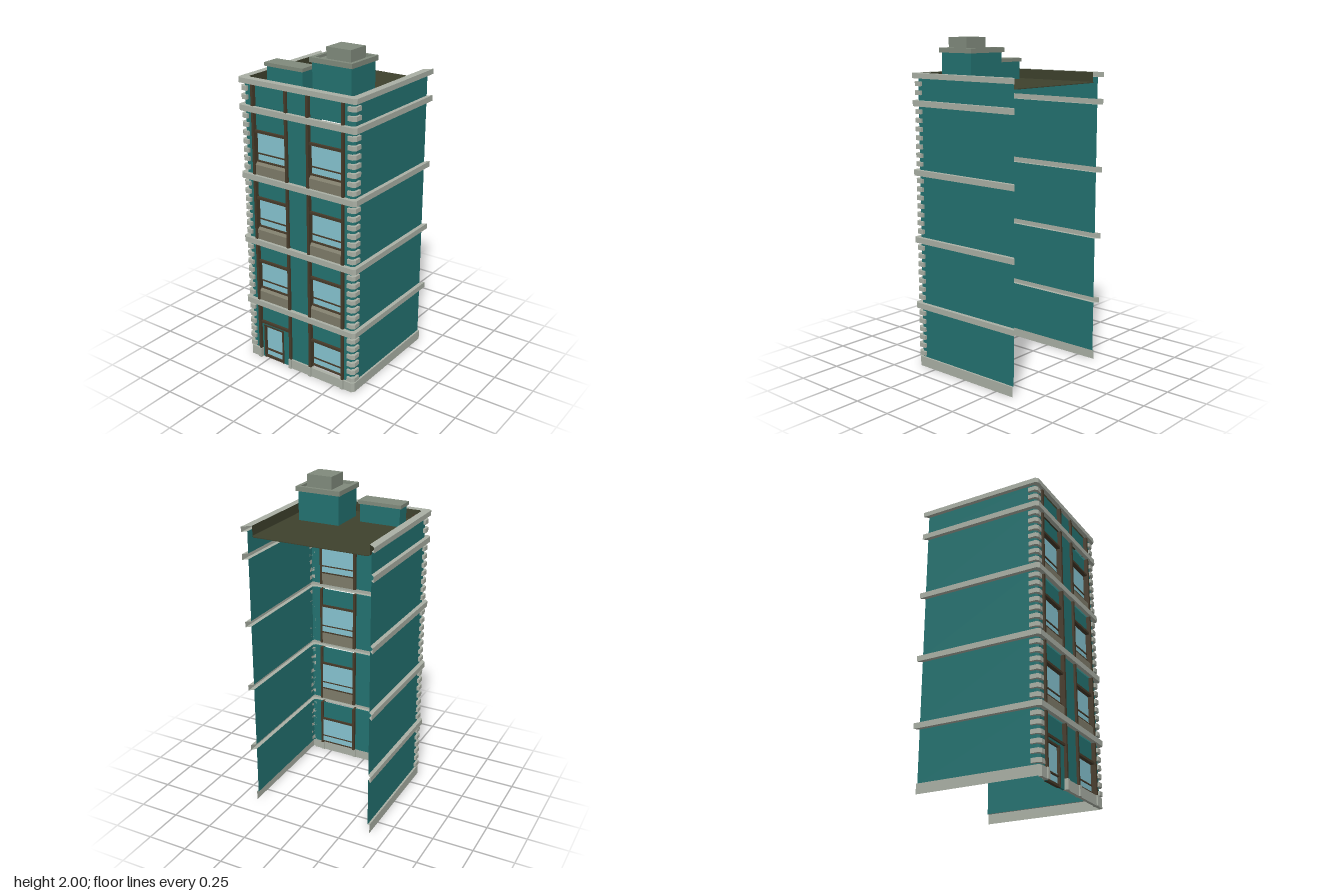
import * as THREE from 'three';

const mat = (name, color) => new THREE.MeshStandardMaterial({ name, color, side: THREE.DoubleSide });

export function createModel() {
  const teal = mat('teal wall', 0x237270);
  const stone = mat('light stone', 0xaab0a5);
  const capGrey = mat('cap grey', 0x808a7c);
  const panelGrey = mat('panel grey', 0x7d7b69);
  const brown = mat('dark brown trim', 0x463a29);
  const glass = mat('window glass', 0x86c3d0);
  const roofMat = mat('roof olive', 0x3e412d);

  const model = new THREE.Group();
  model.name = 'building';

  const add = (name, geo, material, parent = model) => {
    const m = new THREE.Mesh(geo, material);
    m.name = name;
    parent.add(m);
    return m;
  };
  // Box given by its limits on each axis
  const box = (name, material, x0, x1, y0, y1, z0, z1, parent) => {
    const m = add(name, new THREE.BoxGeometry(x1 - x0, y1 - y0, z1 - z0), material, parent);
    m.position.set((x0 + x1) / 2, (y0 + y1) / 2, (z0 + z1) / 2);
    return m;
  };

  // U-shaped plan with chamfered front corners, open at the back
  const plan = (d, back = 0.005 - d) => {
    const f = d - 0.007, c = 0.015;
    return [[-d, back], [-d, f - c], [c - d, f], [d - c, f], [d, f - c], [d, back]];
  };
  // Sweep a profile of [offset, height] points round the plan
  const sweep = (name, material, profile, { front = true, back } = {}) => {
    const pos = [];
    for (let i = 0; i < profile.length - 1; i++) {
      const [d0, y0] = profile[i], [d1, y1] = profile[i + 1];
      const a = plan(d0, back), b = plan(d1, back);
      for (let s = 0; s < 5; s++) {
        if (s === 2 && !front) continue;
        const A = [a[s][0], y0, a[s][1]], B = [a[s + 1][0], y0, a[s + 1][1]];
        const C = [b[s + 1][0], y1, b[s + 1][1]], D = [b[s][0], y1, b[s][1]];
        pos.push(...A, ...B, ...C, ...A, ...C, ...D);
      }
    }
    const geo = new THREE.BufferGeometry();
    geo.setAttribute('position', new THREE.Float32BufferAttribute(pos, 3));
    geo.computeVertexNormals();
    return add(name, geo, material);
  };
  // Horizontal slab from a plan of [x, z] points, with its top at y
  const slab = (name, material, points, y, depth, hole) => {
    const shape = new THREE.Shape(points.map(p => new THREE.Vector2(...p)));
    if (hole) shape.holes.push(new THREE.Path(hole.map(p => new THREE.Vector2(...p))));
    const geo = new THREE.ExtrudeGeometry(shape, { depth, bevelEnabled: false });
    geo.rotateX(Math.PI / 2);
    const m = add(name, geo, material);
    m.position.y = y;
    return m;
  };
  const rect = (x0, x1, z0, z1) => [[x0, z0], [x1, z0], [x1, z1], [x0, z1]];

  // Belt courses, cornice and base
  for (const y of [0.39, 0.8, 1.21, 1.62]) {
    sweep('beltCourse', stone, [[0.38, y - 0.017], [0.405, y - 0.017], [0.405, y + 0.017], [0.38, y + 0.017]]);
  }
  sweep('cornice', stone, [[0.38, 1.765], [0.405, 1.765], [0.405, 1.795], [0.36, 1.795]]);
  sweep('parapetInside', roofMat, [[0.36, 1.795], [0.36, 1.735]]);
  sweep('base', stone, [[0.392, 0], [0.392, 0.06], [0.38, 0.06]], { front: false, back: -0.375 });
  box('baseFront', stone, -0.377, -0.302, 0, 0.06, 0.365, 0.385);
  box('baseFront', stone, -0.083, 0.377, 0, 0.06, 0.365, 0.385);
  for (const x of [-0.311, -0.075, 0.075, 0.311]) box('baseBlock', stone, x - 0.011, x + 0.011, 0, 0.062, 0.36, 0.393);

  // Storeys: side walls, front piers, trim strips and corner quoins
  const storeys = [[0.06, 0.373, 6], [0.407, 0.783, 7], [0.817, 1.193, 7], [1.227, 1.603, 7], [1.637, 1.765, 2]];
  const quoinPlan = [[0.345, 0.388], [0.38, 0.388], [0.395, 0.373], [0.395, 0.328],
    [0.38, 0.328], [0.38, 0.358], [0.365, 0.373], [0.345, 0.373]];
  for (const [y0, y1, count] of storeys) {
    sweep('sideWalls', teal, [[0.38, y0], [0.38, y1]], { front: false });
    box('centrePier', teal, -0.07, 0.07, y0, y1, 0.365, 0.373);
    for (const s of [-1, 1]) {
      const a = s * 0.315, b = s * 0.365;
      box('outerPier', teal, Math.min(a, b), Math.max(a, b), y0, y1, 0.365, 0.373);
      for (const x of [s * 0.075, s * 0.311]) {
        box('trimStrip', brown, x - 0.008, x + 0.008, y0, y1, 0.348, 0.387);
      }
      for (let i = 0; i < count; i++) {
        slab('quoin', stone, quoinPlan.map(([x, z]) => [s * x, z]), y1 - 0.019 - i * 0.0515, 0.026);
      }
    }
  }

  // Window bays between the trim strips
  const bay = (x, bottom, g0, g1, top) => {
    const g = new THREE.Group();
    g.name = 'windowBay';
    model.add(g);
    const l = x - 0.11, r = x + 0.11;
    box('spandrel', teal, l, r, g1 + 0.014, top, 0.357, 0.363, g);
    box('header', brown, l, r, g1, g1 + 0.014, 0.348, 0.38, g);
    box('pane', glass, l, r, g0, g1, 0.35, 0.354, g);
    box('rail', brown, l, r, g0 + 0.038, g0 + 0.045, 0.347, 0.36, g);
    box('sill', brown, l, r, g0 - 0.008, g0, 0.347, 0.366, g);
    if (g0 - bottom < 0.03) return;
    // Panel with a sloped top below the sill
    const h = g0 - 0.008 - bottom;
    const side = new THREE.Shape([[0.35, 0], [0.38, 0], [0.38, h - 0.015], [0.366, h], [0.35, h]]
      .map(p => new THREE.Vector2(...p)));
    const geo = new THREE.ExtrudeGeometry(side, { depth: 0.22, bevelEnabled: false });
    geo.rotateY(-Math.PI / 2);
    add('panel', geo, panelGrey, g).position.set(r, bottom, 0);
  };
  for (const s of [-1, 1]) {
    const x = s * 0.193;
    for (const y of [0.39, 0.8, 1.21]) bay(x, y + 0.017, y + 0.1, y + 0.272, y + 0.393);
    box('topSpandrel', teal, x - 0.11, x + 0.11, 1.637, 1.765, 0.357, 0.363);
  }
  bay(0.193, 0.06, 0.078, 0.243, 0.373);

  // Entrance
  box('entranceSpandrel', teal, -0.303, -0.083, 0.257, 0.373, 0.357, 0.363);
  box('entranceHeader', brown, -0.303, -0.083, 0.243, 0.257, 0.348, 0.38);
  box('entranceSide', teal, -0.135, -0.083, 0, 0.243, 0.357, 0.37);
  box('entranceSide', teal, -0.303, -0.287, 0, 0.243, 0.357, 0.37);
  box('entranceTop', teal, -0.287, -0.135, 0.23, 0.243, 0.357, 0.37);
  box('doorPane', glass, -0.277, -0.146, 0.012, 0.22, 0.354, 0.358);
  for (const x of [-0.287, -0.146]) box('doorStile', brown, x, x + 0.011, 0, 0.23, 0.35, 0.374);
  for (const [y, h] of [[0, 0.014], [0.055, 0.007], [0.218, 0.012]]) {
    box('doorRail', brown, -0.277, -0.146, y, y + h, 0.35, 0.37);
  }

  // Roof deck
  slab('roof', roofMat, [[-0.36, -0.355], [-0.345, -0.37], [0.345, -0.37], [0.36, -0.355],
    [0.36, 0.338], [0.345, 0.353], [-0.345, 0.353], [-0.36, 0.338]], 1.737, 0.004);

  // Low roof box
  box('lowRoofBox', teal, -0.3, -0.048, 1.735, 1.845, 0.165, 0.258);
  box('lowRoofCap', capGrey, -0.31, -0.04, 1.845, 1.866, 0.155, 0.268);

  // Stair house with a rimmed cap and a vent block
  box('stairHouse', teal, 0.022, 0.282, 1.735, 1.912, 0.03, 0.26);
  slab('stairHouseRim', capGrey, rect(0.01, 0.293, 0.017, 0.272), 1.94, 0.028, rect(0.035, 0.27, 0.038, 0.25));
  box('stairHouseTop', capGrey, 0.034, 0.271, 1.914, 1.925, 0.037, 0.251);
  box('ventBlock', capGrey, 0.095, 0.255, 1.92, 2.0, 0.087, 0.23);

  return model;
}
